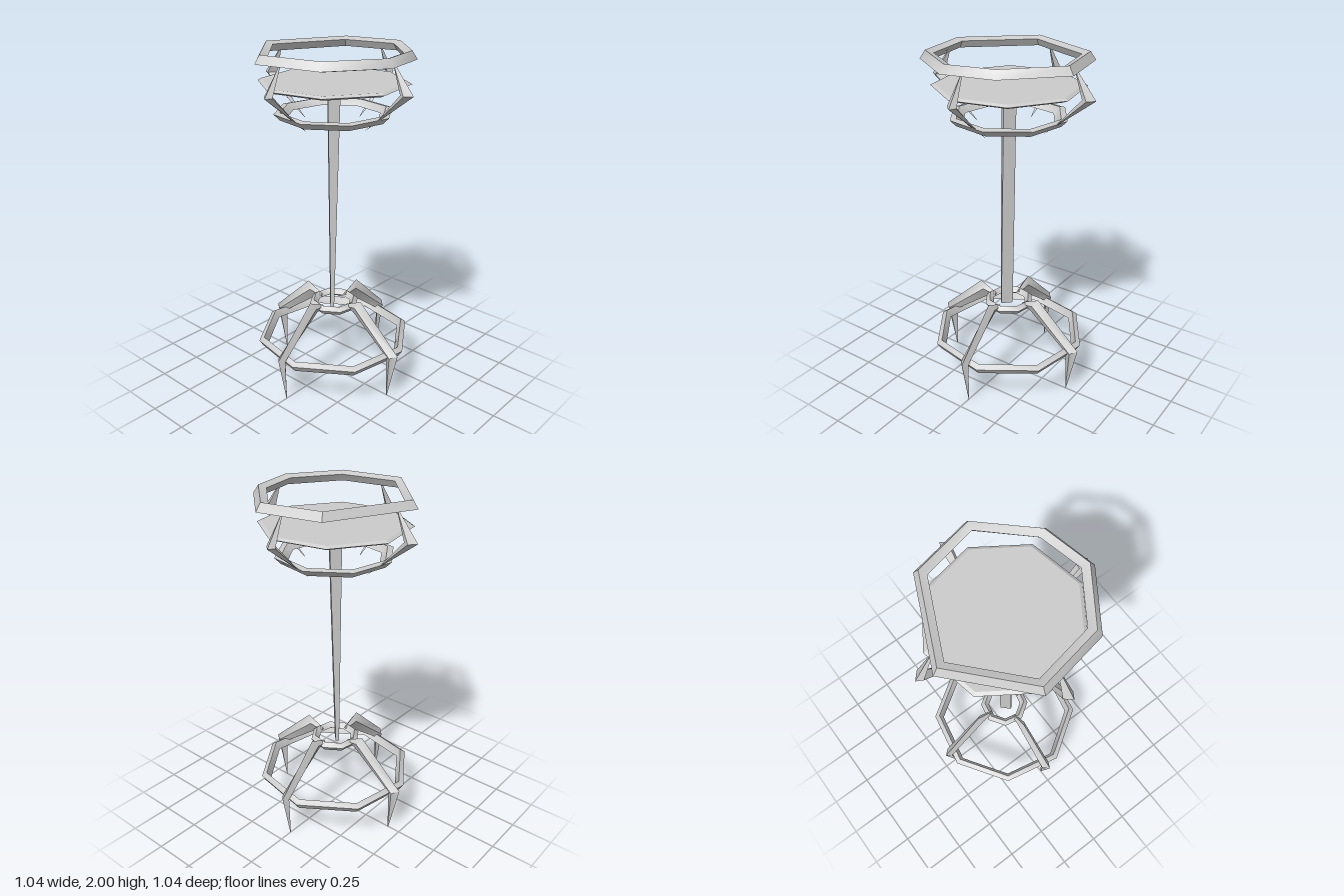
import * as THREE from 'three';
import { toCreasedNormals } from 'three/addons/utils/BufferGeometryUtils.js';

const material = new THREE.MeshStandardMaterial({ color: 0xcccccc, side: THREE.DoubleSide });

// Skin a row of equal-sized cross-sections ([x, y, z] corners); closed joins the last to the first.
function loft(name, sections, closed = false, crease = 0.7) {
  const n = sections[0].length, rows = sections.length, index = [];
  for (let i = 0; i < (closed ? rows : rows - 1); i++) {
    for (let j = 0; j < n; j++) {
      const a = i * n + j, b = i * n + (j + 1) % n;
      const c = ((i + 1) % rows) * n + j, d = ((i + 1) % rows) * n + (j + 1) % n;
      index.push(a, b, c, b, d, c);
    }
  }
  if (!closed) {
    const end = (rows - 1) * n;
    for (let j = 1; j < n - 1; j++) index.push(0, j + 1, j, end, end + j, end + j + 1);
  }
  // Turn the faces outward if the enclosed volume comes out negative
  const pts = sections.flat().map(p => new THREE.Vector3(...p));
  let volume = 0;
  for (let i = 0; i < index.length; i += 3) {
    volume += pts[index[i]].dot(pts[index[i + 1]].clone().cross(pts[index[i + 2]]));
  }
  if (volume < 0) index.reverse();
  const geo = new THREE.BufferGeometry().setFromPoints(pts);
  geo.setIndex(index);
  const mesh = new THREE.Mesh(toCreasedNormals(geo, crease), material);
  mesh.name = name;
  return mesh;
}

// Corners of a regular polygon in plan
function polygon(r, n, phase) {
  return Array.from({ length: n }, (_, i) => {
    const a = (i / n) * Math.PI * 2 + phase;
    return [r * Math.cos(a), r * Math.sin(a)];
  });
}

// Ring along a plan outline; profile holds [inset from the outline, height]
function ring(name, outline, profile) {
  return loft(name, outline.map(([x, z]) => {
    const r = Math.hypot(x, z);
    return profile.map(([inset, y]) => [x * (1 - inset / r), y, z * (1 - inset / r)]);
  }), true);
}

// Four-sided arm lying along +x; each row: outer [x, y], inner [x, y], half width, twist in z
function arm(name, rows) {
  return loft(name, rows.map(([[ox, oy], [ix, iy], w, t]) => {
    const mx = (ox + ix) / 2, my = (oy + iy) / 2;
    return [[ox, oy, -t], [mx, my, w], [ix, iy, t], [mx, my, -w]];
  }));
}

export function createModel() {
  const model = new THREE.Group();
  const phase = -Math.PI / 16;

  // Back rail ring: uneven seven-sided hoop
  const rail = [[0.46, 0.12], [0.2, 0.4], [-0.09, 0.46], [-0.39, 0.26], [-0.46, -0.12], [-0.09, -0.46], [0.385, -0.24]];
  model.add(ring('topRing', rail, [[0, 1.955], [0.03, 2], [0.075, 1.985], [0.05, 1.945]]));

  // Seat: thin eight-sided disc with a tapered rim
  const seat = [[0.39, 1.802], [0.42, 1.815], [0.4, 1.826]];
  model.add(loft('seat', seat.map(([r, y]) => polygon(r, 8, -phase).map(([x, z]) => [x, y, z])), false, 0.3));

  // Ring under the seat, foot ring and hub ring
  model.add(ring('underSeatRing', polygon(0.335, 8, phase), [[0, 1.658], [0.035, 1.623], [0.07, 1.63], [0.035, 1.665]]));
  model.add(ring('footRing', polygon(0.465, 8, phase), [[0, 0.275], [0.025, 0.237], [0.055, 0.25], [0.03, 0.295]]));
  model.add(ring('hubRing', polygon(0.15, 8, phase), [[0, 0.485], [0.02, 0.458], [0.05, 0.478], [0.025, 0.508]]));

  // Post: square at the top, narrowing along one diagonal to the foot
  const post = [[1.81, 0.035, 0.035, 0], [0.46, 0.035, 0.01, -0.017]];
  model.add(loft('post', post.map(([y, u, v, dx]) =>
    [[1, 1], [1, -1], [-1, -1], [-1, 1]].map(([su, sv]) =>
      [dx + (su * u + sv * v) * Math.SQRT1_2, y, (sv * v - su * u) * Math.SQRT1_2])), false, 0.3));

  // Four legs and four seat brackets, a quarter turn apart
  for (let i = 0; i < 4; i++) {
    const leg = arm('leg', [
      [[0.1, 0.5], [0.1, 0.475], 0.01, 0],
      [[0.21, 0.55], [0.15, 0.465], 0.022, 0],
      [[0.485, 0.29], [0.415, 0.265], 0.027, 0.008],
      [[0.422, 0.0], [0.418, 0.0], 0.002, 0],
    ]);
    const bracket = arm('bracket', [
      [[0.405, 1.96], [0.395, 1.955], 0.004, 0],
      [[0.52, 1.81], [0.45, 1.81], 0.03, 0.01],
      [[0.32, 1.66], [0.29, 1.64], 0.012, 0],
      [[0.222, 1.585], [0.22, 1.585], 0.002, 0],
    ]);
    leg.rotation.y = bracket.rotation.y = i * Math.PI / 2;
    model.add(leg, bracket);
  }
  return model;
}
